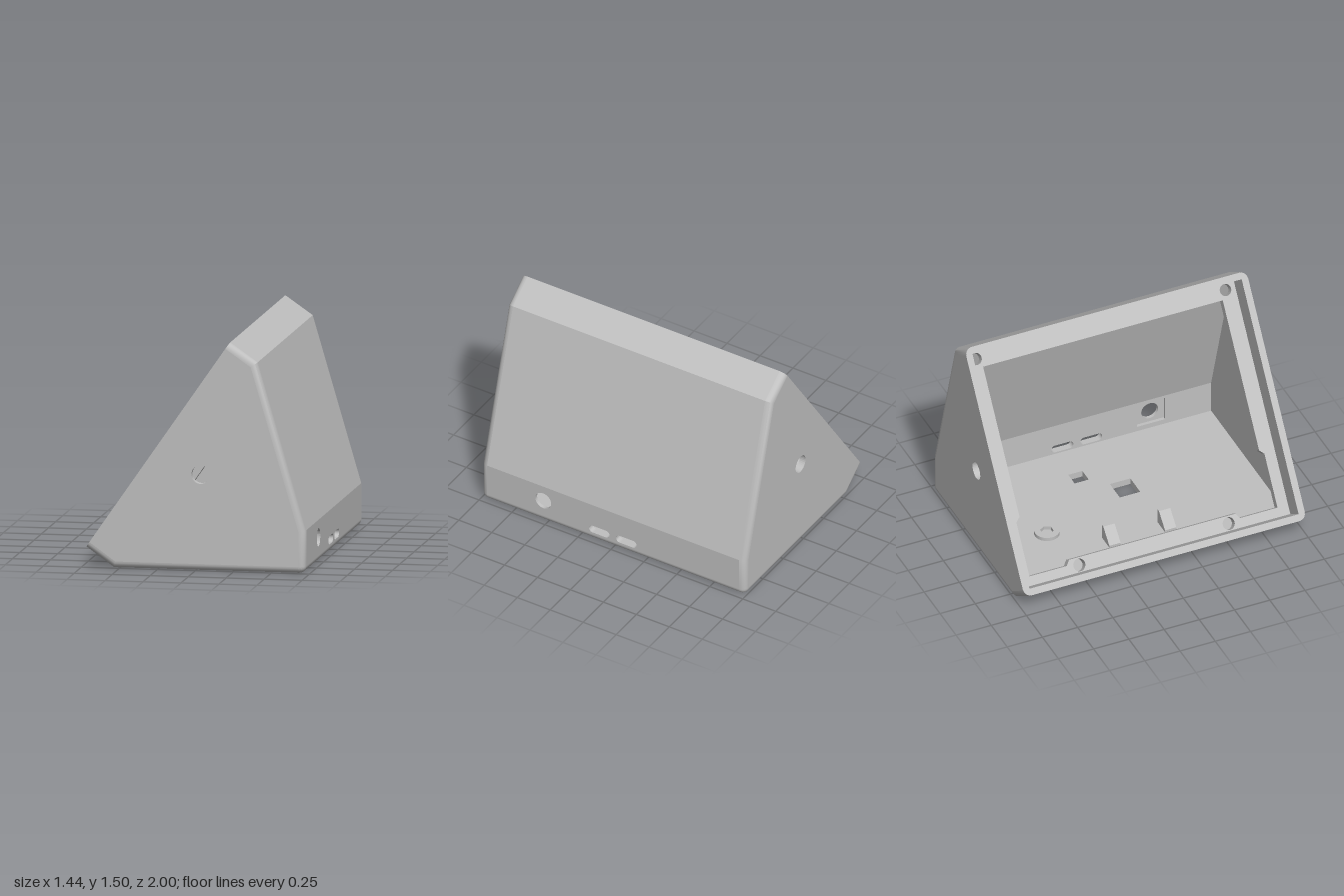
import * as THREE from 'three';
import { toCreasedNormals } from 'three/addons/utils/BufferGeometryUtils.js';

const grey = new THREE.MeshStandardMaterial({ color: 0xc0c0c0 });
grey.name = 'grey plastic';

const W = 0.045;   // wall thickness
const R = 0.044;   // rounding of the side edges
const ZI = 1 - R;  // where the rounding starts
const A = [-0.722, 0.13], B = [-0.54, 0], D = [0.722, 0.28], E = [0.402, 1.37], F = [0.222, 1.495];
const C1 = [0.722 - W, 0], C2 = [0.722, W];
const L = Math.hypot(F[0] - A[0], F[1] - A[1]);

// Side profile, counterclockwise, with a rounded lower back corner
const profile = [A, B];
for (let i = 0; i <= 6; i++) {
  const a = (i / 6) * Math.PI / 2;
  profile.push([C1[0] + W * Math.sin(a), W - W * Math.cos(a)]);
}
profile.push(D, E, F);

// Moves every edge inward by d, except the open sloping edge
function inset(d) {
  const n = profile.length;
  const line = (i) => {
    const p = profile[i], q = profile[(i + 1) % n];
    const l = Math.hypot(q[0] - p[0], q[1] - p[1]);
    const nx = (q[1] - p[1]) / l, ny = -(q[0] - p[0]) / l;
    return [nx, ny, nx * p[0] + ny * p[1] - (i === n - 1 ? 0 : d)];
  };
  return profile.map((_, i) => {
    const [a, b, c] = line((i + n - 1) % n), [e, f, g] = line(i);
    const det = a * f - b * e;
    return [(c * f - b * g) / det, (a * g - c * e) / det];
  });
}

const vec = (pts) => pts.map(([x, y]) => new THREE.Vector2(x, y));
const rect = (x0, y0, x1, y1) => vec([[x0, y0], [x1, y0], [x1, y1], [x0, y1]]);
const circle = (x, y, r, n = 32) => vec(Array.from({ length: n }, (_, i) => {
  const a = (i / n) * 2 * Math.PI;
  return [x + r * Math.cos(a), y + r * Math.sin(a)];
}));
// Rounded outline; also makes slots when r is half the width
function roundRect(x0, y0, x1, y1, r) {
  const pts = [];
  [[x1 - r, y1 - r], [x0 + r, y1 - r], [x0 + r, y0 + r], [x1 - r, y0 + r]].forEach(([cx, cy], k) => {
    for (let i = 0; i <= 6; i++) {
      const a = (k + i / 6) * Math.PI / 2;
      pts.push([cx + r * Math.cos(a), cy + r * Math.sin(a)]);
    }
  });
  return vec(pts);
}

function extrude(outline, holes, depth) {
  const shape = new THREE.Shape(outline);
  holes.forEach((h) => shape.holes.push(new THREE.Path(h)));
  return new THREE.ExtrudeGeometry(shape, { depth, bevelEnabled: false });
}

// Plate along p to q: local x runs along the edge, y along z; top is outward, sunk by `sink`
function plate(p, q, outline, holes, depth, sink = 0) {
  const x = new THREE.Vector3(q[0] - p[0], q[1] - p[1], 0).normalize();
  const m = new THREE.Matrix4().makeBasis(x, new THREE.Vector3(0, 0, 1), new THREE.Vector3(x.y, -x.x, 0));
  m.setPosition(p[0], p[1], 0);
  return extrude(outline, holes, depth).translate(0, 0, -depth - sink).applyMatrix4(m);
}

// Rounded band around one side of the housing
function edgeBand(side) {
  const steps = 6, pos = [], rings = [];
  for (let k = 0; k <= steps; k++) {
    const a = (k / steps) * Math.PI / 2;
    rings.push(inset(R * (1 - Math.cos(a))).map(([x, y]) => [x, y, side * (ZI + R * Math.sin(a))]));
  }
  for (let k = 0; k < steps; k++) {
    for (let i = 0; i < profile.length - 1; i++) {
      const a = rings[k][i], b = rings[k][i + 1], c = rings[k + 1][i + 1], d = rings[k + 1][i];
      const quad = side > 0 ? [a, b, c, a, c, d] : [a, c, b, a, d, c];
      quad.forEach((v) => pos.push(...v));
    }
  }
  const g = new THREE.BufferGeometry();
  g.setAttribute('position', new THREE.Float32BufferAttribute(pos, 3));
  return toCreasedNormals(g, 0.5);
}

export function createModel() {
  const model = new THREE.Group();
  model.name = 'slopedEnclosure';
  const add = (name, geometry) => {
    const mesh = new THREE.Mesh(geometry, grey);
    mesh.name = name;
    model.add(mesh);
    return mesh;
  };
  const wall = (name, p, q, holes = [], depth = W, sink = 0) => add(name,
    plate(p, q, rect(0, -ZI, Math.hypot(q[0] - p[0], q[1] - p[1]), ZI), holes, depth, sink));

  // Walls running across the width
  wall('frontLip', A, B);
  wall('floor', B, C1, [rect(0.625, 0.04, 0.78, 0.185), rect(0.88, -0.165, 0.98, -0.065)]);
  wall('backSlope', D, E);
  wall('topLip', E, F);

  // Back wall: outer skin with a round port, inner skin with a square pocket, slots through both
  const slots = [0.105, -0.1].map((z) => roundRect(0.0125, z - 0.078, 0.0675, z + 0.078, 0.027));
  wall('backOuterSkin', C2, D, [circle(0.12, 0.53, 0.06), ...slots], W / 2);
  wall('backInnerSkin', C2, D, [rect(0.035, 0.43, 0.21, 0.63), ...slots], W / 2, W / 2);

  // Rounded lower back edge
  const corner = new THREE.CylinderGeometry(W, W, 2 * ZI, 8, 1, true, 0, Math.PI / 2);
  add('lowerBackEdge', corner.rotateX(Math.PI / 2).translate(C1[0], W, 0));

  // Side walls with a round hole, and their rounded edges
  for (const side of [1, -1]) {
    const g = extrude(vec(inset(R)), [circle(0.035, 0.63, 0.061)], R);
    add('sideWall', g.translate(0, 0, side > 0 ? ZI : -1));
    add('sideRoundedEdge', edgeBand(side));
  }

  // Rim of the sloping opening (x runs from the top edge down)
  const e = 0.002;
  add('openingRim', plate(F, A, roundRect(e, -1 + e, L - e, 1 - e, R),
    [rect(W, -1 + W, L - W, 1 - W)], 0.158));

  // Stepped ledge inside the rim with four screw holes
  const low = L - 0.107, mid = L - 0.142, notch = L - 0.467;
  const half = [[mid, 0.59], [low, 0.615], [low, 0.88], [notch, 0.88], [notch - 0.03, 0.85], [0.16, 0.85]];
  const opening = [...half, ...half.map(([x, z]) => [x, -z]).reverse()];
  const screws = [];
  for (const s of [1, -1]) screws.push(circle(0.1, s * 0.885, 0.04, 20), circle(L - 0.092, s * 0.53, 0.042, 20));
  add('mountingLedge', plate(F, A, rect(0.02, -0.97, L - 0.02, 0.97), [vec(opening), ...screws], 0.055, 0.158));

  // Wedge clips on the floor
  for (const z of [0.195, -0.2]) {
    const clip = extrude(vec([[-0.37, 0.03], [-0.255, 0.03], [-0.255, 0.15], [-0.275, 0.15], [-0.37, 0.06]]), [], 0.08);
    add('floorClip', clip.translate(0, 0, z - 0.04));
  }

  // Round boss with a hexagonal socket
  const boss = extrude(circle(0, 0, 0.083), [circle(0, 0, 0.045, 6)], 0.03).rotateX(-Math.PI / 2);
  add('floorBoss', toCreasedNormals(boss, 0.5).translate(-0.065, 0.04, -0.545));

  return model;
}
